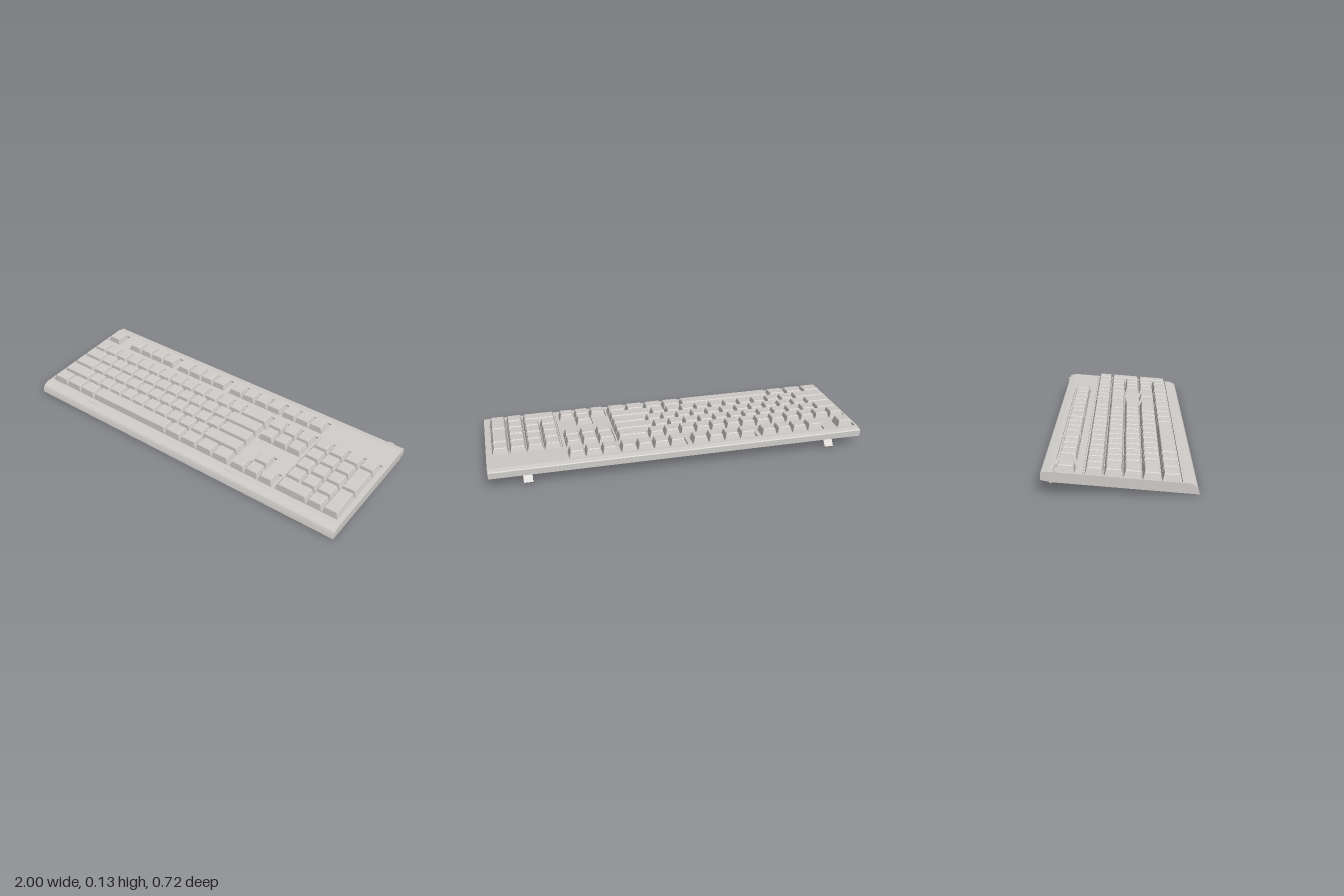
import * as THREE from 'three';
import { toCreasedNormals } from 'three/addons/utils/BufferGeometryUtils.js';

const U = 0.0859;            // main key pitch
const NAV = 0.0873;          // navigation and top row key pitch
const PAD = 0.091;           // number pad pitch
const ROW = 0.0869;          // row pitch
const Z0 = -0.157;           // back edge of the number row
const RECESS = 0.012;        // depth of the key wells
const KEY_H = 0.028;         // key height above the deck
const TILT = Math.atan(0.0837);

// Side profile given as (z, y), extruded across x and centred there
function extrudeSide(shape, width) {
  const g = new THREE.ExtrudeGeometry(shape, { depth: width, bevelEnabled: false, curveSegments: 8 });
  g.rotateY(-Math.PI / 2);
  g.translate(width / 2, 0, 0);
  return toCreasedNormals(g, 0.4);
}

const outline = (pts) => new THREE.Shape(pts.map(([a, b]) => new THREE.Vector2(a, b)));

// Tapered key with a narrow bevel around its top
function keyGeometry(w, d) {
  const g = new THREE.BoxGeometry(w, 2, d, 1, 2, 1).toNonIndexed();
  const p = g.attributes.position;
  const levels = [[-RECESS, 0, 0], [KEY_H - 0.003, 0.0095, 0.0075], [KEY_H, 0.0125, 0.01]];
  for (let i = 0; i < p.count; i++) {
    const [y, ix, iz] = levels[Math.round(p.getY(i)) + 1];
    p.setXYZ(i, p.getX(i) - Math.sign(p.getX(i)) * ix, y, p.getZ(i) - Math.sign(p.getZ(i)) * iz);
  }
  g.computeVertexNormals();
  return g;
}

export function createModel() {
  const model = new THREE.Group();
  model.name = 'keyboard';
  const casing = new THREE.MeshStandardMaterial({ color: 0xd0cdca });
  casing.name = 'casing grey';
  const add = (parent, name, geometry) => {
    const m = new THREE.Mesh(geometry, casing);
    m.name = name;
    parent.add(m);
    return m;
  };

  // Wedge body with a rounded front lip
  const body = new THREE.Shape();
  body.moveTo(0.358, 0.003);
  body.lineTo(0.348, 0.036);
  body.quadraticCurveTo(0.341, 0.046, 0.314, 0.0553);
  body.lineTo(0.313, 0.0433);
  body.lineTo(-0.314, 0.0958);
  body.lineTo(-0.314, 0.06);
  add(model, 'body', extrudeSide(body, 2));

  // Back bar and cable socket
  add(model, 'backBar', extrudeSide(outline([
    [-0.314, 0.061], [-0.314, 0.107], [-0.345, 0.1045], [-0.35, 0.101], [-0.35, 0.068], [-0.344, 0.066],
  ]), 1.994));
  const socket = add(model, 'cableSocket', new THREE.BoxGeometry(0.032, 0.027, 0.012));
  socket.position.set(0.92, 0.088, -0.351);

  // Folding feet
  for (const x of [-0.832, 0.8]) {
    const foot = add(model, 'foot', extrudeSide(outline([
      [-0.27, 0.058], [-0.32, 0], [-0.331, 0.011], [-0.286, 0.062],
    ]), 0.048));
    foot.position.x = x;
  }

  // Everything on the sloping top
  const top = new THREE.Group();
  top.name = 'slopingTop';
  top.rotation.x = TILT;
  top.position.y = 0.0816;
  model.add(top);

  // Deck with wells for the key clusters
  const deck = outline([[-1, -0.315], [1, -0.315], [1, 0.315], [-1, 0.315]]);
  const well = (pts) => deck.holes.push(new THREE.Path(pts.map(([x, z]) => new THREE.Vector2(x, -z))));
  const rectWell = (x0, x1, z0, z1) => well([[x0, z0], [x1, z0], [x1, z1], [x0, z1]]);
  const zTop = Z0 - 0.006, zEnd = Z0 + 5 * ROW + 0.006;
  rectWell(-0.99, 0.31, zTop, zEnd);
  rectWell(0.316, 0.588, zTop, Z0 + 2 * ROW + 0.006);
  rectWell(0.6, 0.973, zTop, zEnd);
  const z3 = Z0 + 3 * ROW - 0.006, z4 = Z0 + 4 * ROW - 0.006;
  const ux0 = 0.321 + NAV - 0.005, ux1 = 0.321 + 2 * NAV + 0.005;
  well([[0.316, z4], [ux0, z4], [ux0, z3], [ux1, z3], [ux1, z4], [0.588, z4], [0.588, zEnd], [0.316, zEnd]]);
  for (const [x0, x1] of [[-0.988, -0.886], [-0.813, -0.453], [-0.431, -0.071], [-0.046, 0.588]]) {
    rectWell(x0, x1, -0.294, -0.195);
  }
  const deckGeo = new THREE.ExtrudeGeometry(deck, { depth: RECESS, bevelEnabled: false });
  deckGeo.rotateX(-Math.PI / 2);
  deckGeo.translate(0, -RECESS, 0);
  add(top, 'deck', deckGeo);

  // Key helpers: one key, and a run of keys with given widths
  const key = (name, x, z, w, d) => {
    const m = add(top, name, keyGeometry(w - 0.003, d - 0.003));
    m.position.set(x + w / 2, 0, z + d / 2);
  };
  const run = (name, x, z, pitch, widths, depth = ROW) => {
    for (const w of widths) {
      key(name, x, z, w * pitch, depth);
      x += w * pitch;
    }
  };
  const ones = (n) => Array(n).fill(1);

  // Main block
  [
    [...ones(13), 2],
    [1.5, ...ones(11), 2.5],
    [1.75, ...ones(11), 2.25],
    [2.25, ...ones(10), 2.75],
    [1.25, 1.25, 1.25, 6.25, 1.25, 1.25, 1.25, 1.25],
  ].forEach((widths, r) => run('mainKey', -0.984, Z0 + r * ROW, U, widths));

  // Top row
  for (const [x, n] of [[-0.981, 1], [-0.807, 4], [-0.425, 4], [-0.04, 4], [0.321, 3]]) {
    run('topRowKey', x, -0.286, NAV, ones(n), 0.088);
  }

  // Navigation and arrow keys
  for (const r of [0, 1]) run('navigationKey', 0.321, Z0 + r * ROW, NAV, ones(3));
  run('arrowKey', 0.321 + NAV, Z0 + 3 * ROW, NAV, [1]);
  run('arrowKey', 0.321, Z0 + 4 * ROW, NAV, ones(3));

  // Number pad with two tall keys on its outer column
  for (let r = 0; r < 4; r++) run('padKey', 0.605, Z0 + r * ROW, PAD, ones(3));
  run('padKey', 0.605, Z0 + 4 * ROW, PAD, [2, 1]);
  for (const [r, n] of [[0, 1], [1, 2], [3, 2]]) key('padKey', 0.605 + 3 * PAD, Z0 + r * ROW, PAD, n * ROW);

  return model;
}
